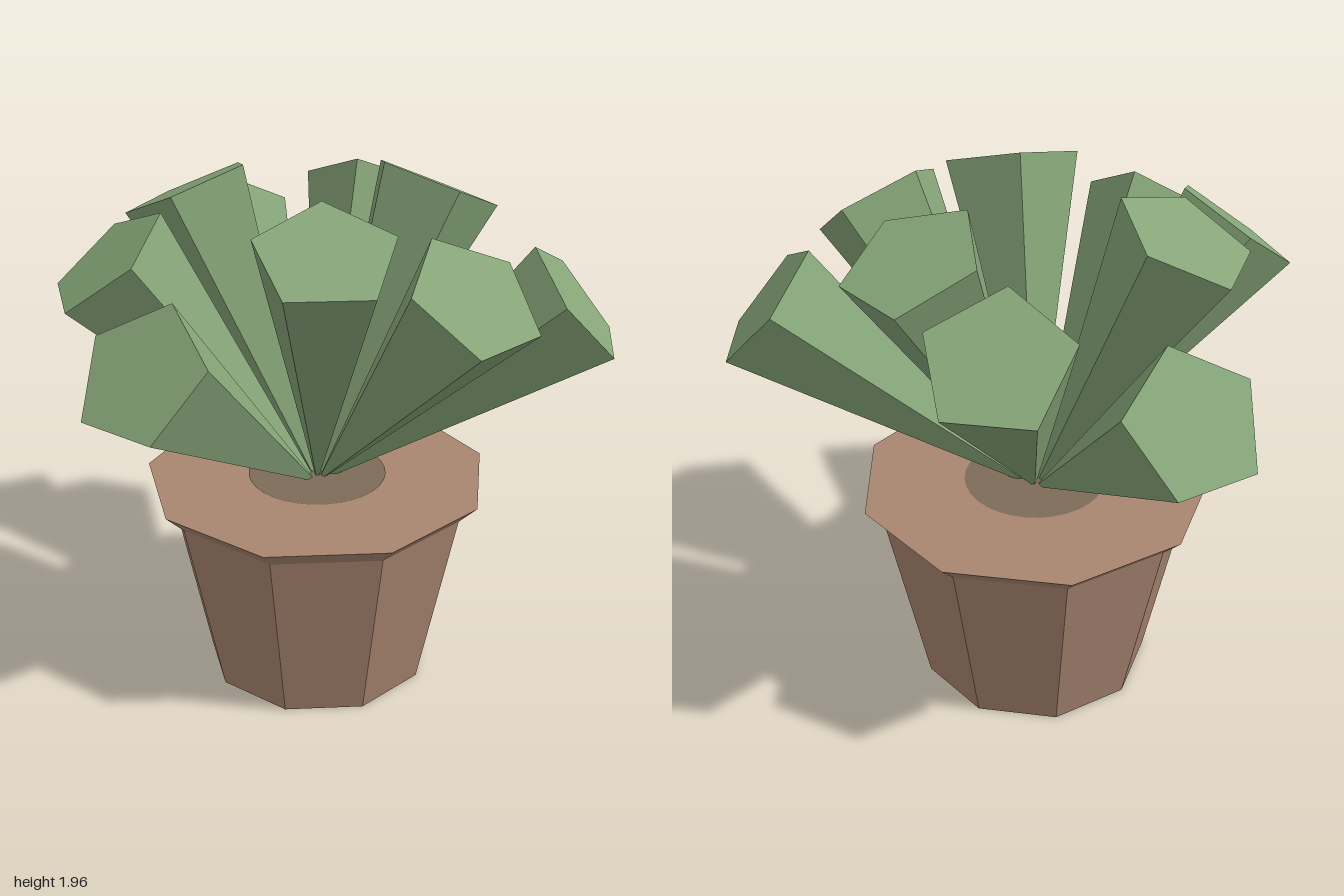
import * as THREE from 'three';

const clay = new THREE.MeshStandardMaterial({ color: 0xa98670, flatShading: true });
clay.name = 'clay';
const leafGreen = new THREE.MeshStandardMaterial({ color: 0x86a578, flatShading: true });
leafGreen.name = 'leafGreen';
const soilBrown = new THREE.MeshStandardMaterial({ color: 0x7d6b57, flatShading: true });
soilBrown.name = 'soilBrown';

const POT_SIDES = 9;
const POT_TURN = THREE.MathUtils.degToRad(10);

function addMesh(parent, name, geometry, material, y = 0) {
  const mesh = new THREE.Mesh(geometry, material);
  mesh.name = name;
  mesh.position.y = y;
  parent.add(mesh);
  return mesh;
}

// Nine-sided tapered pot with a flared rim and a disc of soil
function createPot() {
  const pot = new THREE.Group();
  pot.name = 'pot';
  const ring = (top, bottom, height) =>
    new THREE.CylinderGeometry(top, bottom, height, POT_SIDES, 1, false, POT_TURN);
  addMesh(pot, 'potBody', ring(0.58, 0.43, 0.73), clay, 0.365);
  addMesh(pot, 'potRim', ring(0.65, 0.58, 0.07), clay, 0.765);
  addMesh(pot, 'soil', new THREE.CircleGeometry(0.26, 32).rotateX(-Math.PI / 2), soilBrown, 0.803);
  return pot;
}

// Pentagonal leaf: a point at the root, widening to a flat tip, one corner facing inward
function leafGeometry(tilt, heading) {
  const length = 1.21;
  return new THREE.CylinderGeometry(0.25, 0, length, 5, 1, false, -Math.PI / 2)
    .translate(0, length / 2, 0)
    .rotateZ(-tilt)
    .rotateY(heading);
}

// Nine leaves around the centre, cycling through three tilts
function createLeaves() {
  const leaves = new THREE.Group();
  leaves.name = 'leaves';
  leaves.position.y = 0.757;
  const tilts = [0.87, 0.44, 0.66];
  for (let i = 0; i < 9; i++) {
    const heading = THREE.MathUtils.degToRad(20 + i * 40);
    addMesh(leaves, `leaf${i + 1}`, leafGeometry(tilts[i % 3], heading), leafGreen);
  }
  return leaves;
}

export function createModel() {
  const model = new THREE.Group();
  model.name = 'pottedSucculent';
  const plant = new THREE.Group();
  plant.name = 'plant';
  plant.position.set(-0.07, 0, -0.08);
  plant.add(createPot(), createLeaves());
  model.add(plant);
  return model;
}
